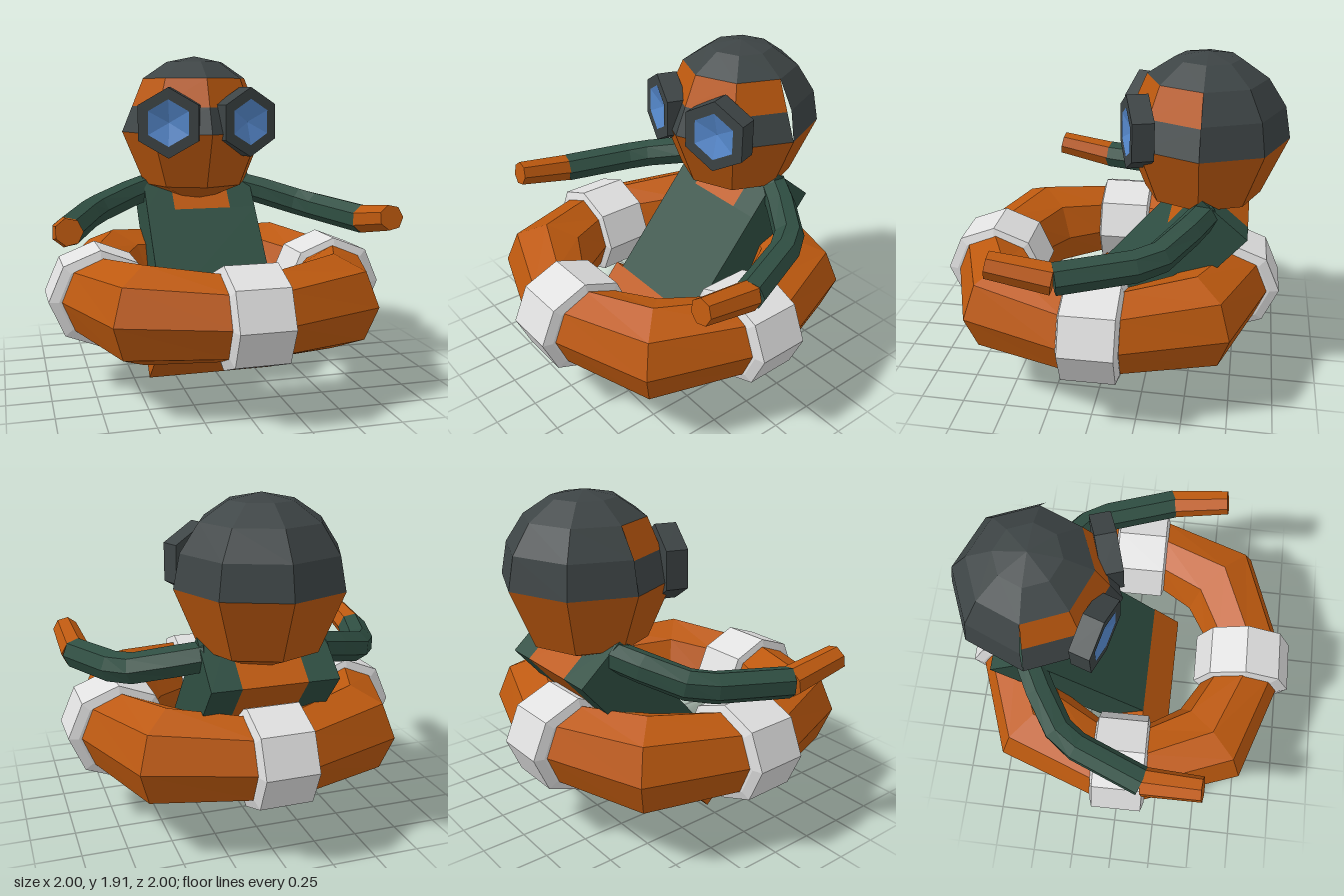
import * as THREE from 'three';

const flat = (name, color) => new THREE.MeshStandardMaterial({ name, color, flatShading: true });

const V = (x, y, z) => new THREE.Vector3(x, y, z);

// Ring of points around p, facing along dir
function section(p, dir, r, sides, ry = r) {
  const d = dir.clone().normalize();
  const side = V(0, 1, 0).cross(d).normalize();
  const up = d.clone().cross(side);
  return Array.from({ length: sides }, (_, j) => {
    const a = (j / sides) * Math.PI * 2;
    return p.clone().addScaledVector(side, Math.cos(a) * r).addScaledVector(up, Math.sin(a) * ry);
  });
}

// Skin over a row of sections, with closed ends
function loft(rings) {
  const n = rings[0].length, index = [];
  const last = (rings.length - 1) * n;
  for (let i = 0; i < rings.length - 1; i++) {
    for (let j = 0; j < n; j++) {
      const a = i * n + j, b = i * n + ((j + 1) % n);
      index.push(a, b, b + n, a, b + n, a + n);
    }
  }
  for (let j = 1; j < n - 1; j++) {
    index.push(0, j + 1, j, last, last + j, last + j + 1);
  }
  const geo = new THREE.BufferGeometry().setFromPoints(rings.flat());
  geo.setIndex(index);
  geo.computeVertexNormals();
  return geo;
}

// Tube through points, one radius per point
function limb(points, radii, sides) {
  return loft(points.map((p, i) => {
    const dir = points[Math.min(i + 1, points.length - 1)].clone().sub(points[Math.max(i - 1, 0)]);
    return section(p, dir, radii[i], sides);
  }));
}

export function createModel() {
  const orange = flat('orange', 0xbd590f);
  const green = flat('dark green', 0x2f4e42);
  const charcoal = flat('charcoal', 0x3d4445);
  const white = flat('pale grey', 0xe0e0e0);
  const blue = flat('lens blue', 0x5588cc);

  const model = new THREE.Group();
  model.name = 'swimmer';
  const add = (parent, name, geo, mat) => {
    const mesh = new THREE.Mesh(geo, mat);
    mesh.name = name;
    parent.add(mesh);
    return mesh;
  };
  const group = (name, x, y, z) => {
    const g = new THREE.Group();
    g.name = name;
    g.position.set(x, y, z);
    model.add(g);
    return g;
  };

  // Swim ring: four swelling arcs joined by four bands
  const ring = group('swimRing', 0, 0.54, 0);
  ring.rotation.y = 0.015;
  const X = V(1, 0, 0);
  const arc = loft([
    section(V(0.14, 0, 0.7), X, 0.235, 8),
    section(V(0.534, 0, 0.534), V(1, 0, -1), 0.272, 8),
    section(V(0.7, 0, 0.14), V(0, 0, -1), 0.235, 8),
  ]);
  const band = loft([[-0.165, 0.24], [-0.148, 0.296], [0.148, 0.296], [0.165, 0.24]].map(
    ([x, r]) => section(V(x, 0, 0.703), X, r, 8, r * 0.95)));
  for (let k = 0; k < 4; k++) {
    add(ring, 'ringArc', arc, orange).rotation.y = k * Math.PI / 2;
    add(ring, 'ringBand', band, white).rotation.y = k * Math.PI / 2;
  }

  // Leaning body, built upright then tilted back
  const body = group('body', 0, 0.11, 0.15);
  body.rotation.x = -0.702;
  const block = (name, x0, x1, y0, y1, mat) => {
    const mesh = add(body, name, new THREE.BoxGeometry(x1 - x0, y1 - y0, 0.34), mat);
    mesh.position.set((x0 + x1) / 2, (y0 + y1) / 2, 0);
  };
  block('hips', -0.41, 0.36, 0, 0.26, orange);
  block('torso', -0.345, 0.355, 0.26, 0.965, green);
  block('rightShoulder', -0.345, -0.17, 0.965, 1.263, green);
  block('neck', -0.17, 0.19, 0.965, 1.263, orange);
  block('leftShoulder', 0.19, 0.355, 0.965, 1.263, green);

  // Head with cap and goggle strap
  const head = group('head', 0, 1.44, -0.52);
  const R = 0.47, q = Math.PI / 4, rTop = R * Math.SQRT1_2;
  const strapH = 0.16, rStrap = R - (R - rTop) * strapH / rTop;
  add(head, 'capTop', new THREE.SphereGeometry(R, 8, 1, 0, 8 * q, 0, q), charcoal);
  add(head, 'capBack', new THREE.SphereGeometry(R, 4, 1, 4 * q, 4 * q, q, q), charcoal);
  add(head, 'lowerFace', new THREE.SphereGeometry(R, 8, 2, 0, 8 * q, 2 * q, 2 * q), orange);
  const front = (name, r1, r0, y0, y1, mat) => {
    const geo = new THREE.CylinderGeometry(r1, r0, y1 - y0, 4, 1, true, -2 * q, 4 * q);
    add(head, name, geo, mat).position.y = (y0 + y1) / 2;
  };
  front('goggleStrap', rStrap, R, 0, strapH, charcoal);
  front('forehead', rTop, rStrap, strapH, rTop, orange);

  // Goggles: six-sided cups with sunken lenses
  const lathe = (pts) => new THREE.LatheGeometry(pts.map(([x, y]) => new THREE.Vector2(x, y)), 6)
    .rotateX(Math.PI / 2);
  const cup = lathe([[0, -0.12], [0.21, -0.12], [0.21, 0], [0.14, 0]]);
  const lens = lathe([[0.14, 0], [0, -0.04]]);

  // Arms reaching forward, mirrored by point
  for (const s of [-1, 1]) {
    const label = s > 0 ? 'left' : 'right';
    const goggle = group(label + 'Goggle', s * 0.255, 1.51, -0.11);
    goggle.rotation.y = s * 0.32;
    add(goggle, 'goggleCup', cup, charcoal);
    add(goggle, 'lens', lens, blue);

    const wrist = V(s * 0.885, 0.935, 0.16);
    const path = [
      V(s * 0.3, 1.08, -0.56), V(s * 0.45, 1.04, -0.48), V(s * 0.65, 0.98, -0.35),
      V(s * 0.735, 0.96, -0.23), wrist,
    ];
    add(model, label + 'Arm', limb(path, [0.085, 0.088, 0.088, 0.088, 0.088], 7), green);
    add(model, label + 'Hand', limb([wrist, V(s * 0.9, 0.995, 0.5)], [0.086, 0.074], 7), orange);
  }
  return model;
}
